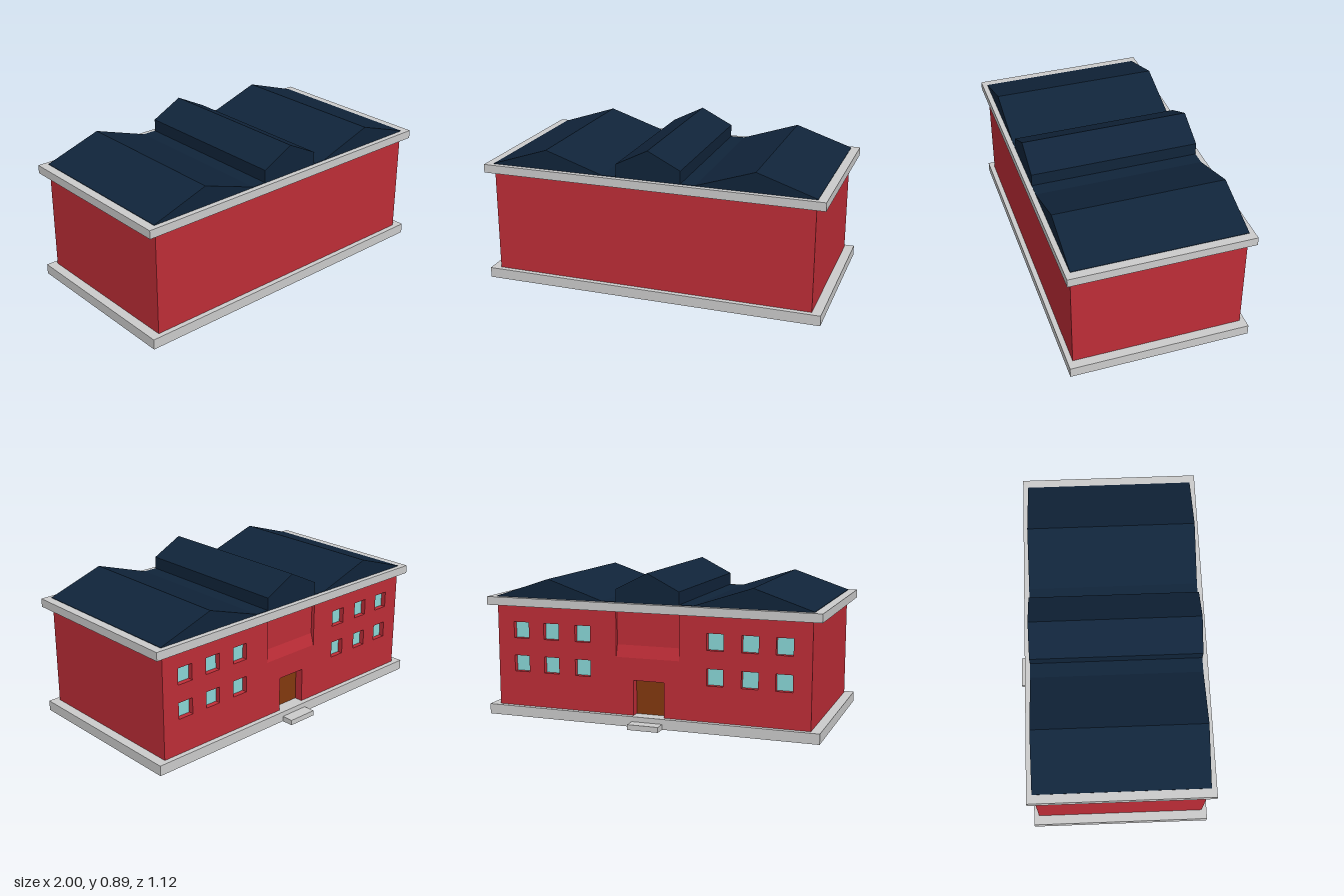
import * as THREE from 'three';

const material = (color) => new THREE.MeshStandardMaterial({ color });

export function createModel() {
  const group = new THREE.Group();
  const red = material(0xbe2d37);
  const grey = material(0xcccccc);
  const navy = material(0x10243a);
  const glass = material(0x8ad8d8);
  const wood = material(0x83390f);

  const add = (name, geometry, mat) => {
    const mesh = new THREE.Mesh(geometry, mat);
    mesh.name = name;
    group.add(mesh);
    return mesh;
  };
  // Box given by its limits on each axis
  const box = (name, mat, [x0, x1], [y0, y1], [z0, z1]) => {
    const mesh = add(name, new THREE.BoxGeometry(x1 - x0, y1 - y0, z1 - z0), mat);
    mesh.position.set((x0 + x1) / 2, (y0 + y1) / 2, (z0 + z1) / 2);
    return mesh;
  };
  const outline = (points) => new THREE.Shape(points.map(([x, y]) => new THREE.Vector2(x, y)));
  const extrude = (shape, depth, z) =>
    new THREE.ExtrudeGeometry(shape, { depth, bevelEnabled: false }).translate(0, 0, z);

  const W = 0.945, WALL = -0.46, CORE = -0.40, FRONT = 0.53;
  const BOTTOM = 0.065, TOP = 0.665;

  // Footing, base slab, cornice and entrance step
  box('footing', grey, [-W, W], [0, 0.006], [WALL, FRONT]);
  box('baseSlab', grey, [-1, 1], [0.005, BOTTOM], [-0.49, 0.56]);
  box('cornice', grey, [-1, 1], [TOP, 0.714], [-0.49, 0.56]);
  box('entranceStep', grey, [-0.1, 0.085], [0.005, 0.036], [-0.56, -0.488]);

  // Main block behind the entrance wall
  box('mainBlock', red, [-W, W], [BOTTOM, TOP], [CORE, FRONT]);

  // Entrance wall, notched for the door and the blank sign recess
  const wall = outline([
    [-W, BOTTOM], [-0.1, BOTTOM], [-0.1, 0.27], [0.085, 0.27], [0.085, BOTTOM], [W, BOTTOM],
    [W, TOP], [0.19, TOP], [0.19, 0.4], [-0.19, 0.4], [-0.19, TOP], [-W, TOP],
  ]);

  // Two rows of three square windows on each side of the entrance
  const half = 0.048;
  for (const side of [-1, 1]) {
    for (const cx of [0.4, 0.6, 0.793]) {
      for (const y of [0.32, 0.52]) {
        const x = side * cx;
        wall.holes.push(new THREE.Path([
          new THREE.Vector2(x - half, y - half), new THREE.Vector2(x - half, y + half),
          new THREE.Vector2(x + half, y + half), new THREE.Vector2(x + half, y - half),
        ]));
        box('windowPane', glass, [x - half, x + half], [y - half, y + half], [WALL + 0.03, CORE]);
      }
    }
  }
  add('entranceWall', extrude(wall, CORE - WALL, WALL), red);
  box('door', wood, [-0.1, 0.085], [BOTTOM, 0.27], [WALL + 0.05, CORE]);

  // Recessed sign panel with a sloping sill, profile drawn in z and y
  const sign = outline([[-0.44, TOP], [-0.44, 0.47], [WALL, 0.4], [CORE, 0.4], [CORE, TOP]]);
  add('signPanel', extrude(sign, 0.38, -0.19).rotateY(-Math.PI / 2), red);

  // Roof: two low side gables and a raised central gable
  const rightHalf = [[0.19, 0.717], [0.19, 0.79], [0, 0.886]];
  const profile = [
    [-0.95, 0.71], [0.95, 0.71], [0.95, 0.717], [0.613, 0.829], [0.275, 0.717],
    ...rightHalf,
    [-0.19, 0.79], [-0.19, 0.717], [-0.275, 0.717], [-0.613, 0.829], [-0.95, 0.717],
  ];
  add('roof', extrude(outline(profile), 0.99, WALL), navy);

  return group;
}
